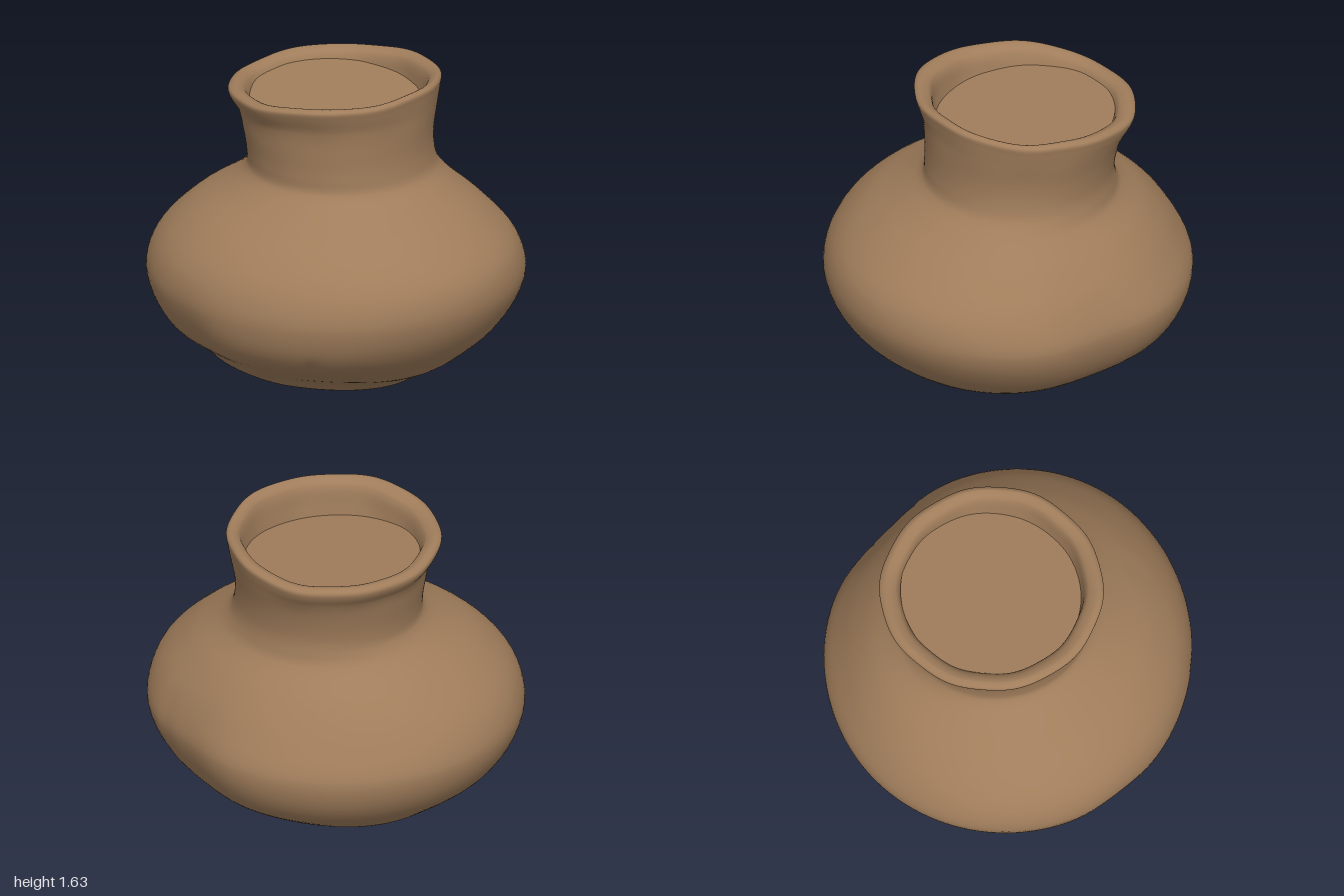
import * as THREE from 'three';

// Cross-sections from foot to inside of the lip: [y, xMin, xMax, zMin, zMax]
const SECTIONS = [
  [0.004, -0.44, 0.43, -0.38, 0.39],
  [0.02, -0.47, 0.46, -0.42, 0.42],
  [0.08, -0.57, 0.53, -0.47, 0.49],
  [0.16, -0.70, 0.69, -0.67, 0.64],
  [0.32, -0.90, 0.87, -0.88, 0.88],
  [0.54, -1.00, 0.99, -0.955, 0.97],
  [0.73, -0.95, 0.96, -0.86, 0.93],
  [0.90, -0.79, 0.80, -0.73, 0.78],
  [1.04, -0.57, 0.61, -0.59, 0.55],
  [1.12, -0.495, 0.52, -0.565, 0.45],
  [1.20, -0.49, 0.495, -0.56, 0.44],
  [1.32, -0.51, 0.49, -0.58, 0.445],
  [1.45, -0.54, 0.505, -0.62, 0.46],
  [1.53, -0.58, 0.517, -0.65, 0.50],
  [1.57, -0.585, 0.52, -0.655, 0.51],
  [1.585, -0.55, 0.495, -0.62, 0.475],
  [1.555, -0.50, 0.455, -0.565, 0.42],
  [1.46, -0.47, 0.435, -0.545, 0.40],
  [1.34, -0.46, 0.42, -0.53, 0.38],
];

// Spacing of the sections along the profile
const KNOTS = [0];
for (let i = 1; i < SECTIONS.length; i++) {
  const [a, b] = [SECTIONS[i - 1], SECTIONS[i]];
  KNOTS.push(KNOTS[i - 1] + Math.hypot(b[0] - a[0], b[2] - a[2]));
}

// Dents, creases and swellings: [angle, y, angular width, height, push]
const DENTS = [
  [-1.0, 0.50, 0.30, 0.32, -0.05],
  [-0.80, 0.55, 0.04, 0.25, -0.006],
  [2.27, 0.38, 0.18, 0.20, -0.02],
  [1.47, 0.32, 0.03, 0.04, -0.014],
  [1.45, 0.55, 0.03, 0.30, -0.004],
  [0.94, 0.93, 0.12, 0.03, -0.008],
  [0.78, 0.12, 0.45, 0.09, 0.04],
  [2.30, 0.08, 0.45, 0.09, 0.06],
  [-2.30, 0.12, 0.45, 0.09, 0.03],
];

const SIDES = 128;
const STEPS = 6;

// Smooth interpolation along the list of sections
function sectionAt(t) {
  const last = SECTIONS.length - 1;
  const i = Math.min(Math.floor(t), last - 1);
  const f = t - i;
  const [ip, inext] = [Math.max(i - 1, 0), Math.min(i + 2, last)];
  const h = KNOTS[i + 1] - KNOTS[i];
  const b = SECTIONS[i + 1];
  return SECTIONS[i].map((v, k) => {
    const m0 = ((b[k] - SECTIONS[ip][k]) * h) / (KNOTS[i + 1] - KNOTS[ip]);
    const m1 = ((SECTIONS[inext][k] - v) * h) / (KNOTS[inext] - KNOTS[i]);
    return v + m0 * f + (3 * (b[k] - v) - 2 * m0 - m1) * f * f
      + (2 * (v - b[k]) + m0 + m1) * f * f * f;
  });
}

// A point on the hand-shaped wall
function wallPoint(t, angle) {
  const [y, x0, x1, z0, z1] = sectionAt(t);
  let push = 0;
  for (const [a, h, w, s, depth] of DENTS) {
    const d = Math.atan2(Math.sin(angle - a), Math.cos(angle - a));
    push += depth * Math.exp(-((d / w) ** 2) - ((y - h) / s) ** 2);
  }
  push += 0.003 * Math.sin(3 * angle + 5 * y) * Math.sin(4 * y + 1);
  const lip = THREE.MathUtils.smoothstep(y, 1.35, 1.56);
  push += lip * 0.006 * Math.sin(7 * angle + 1) * Math.sin(3 * angle);
  const x = (x0 + x1) / 2 + ((x1 - x0) / 2 + push) * Math.cos(angle);
  const z = (z0 + z1) / 2 + ((z1 - z0) / 2 + push) * Math.sin(angle);
  // The rim leans up towards the front left
  const tilt = 0.06 * (x + 0.03) + 0.05 * (z + 0.07) + 0.005 * Math.sin(5 * angle);
  return new THREE.Vector3(x, y + lip * tilt, z);
}

function wallGeometry() {
  const rings = (SECTIONS.length - 1) * STEPS;
  const positions = [];
  const index = [];
  for (let r = 0; r <= rings; r++) {
    for (let s = 0; s < SIDES; s++) {
      positions.push(...wallPoint(r / STEPS, (s / SIDES) * Math.PI * 2));
      if (r === rings) continue;
      const a = r * SIDES + s;
      const c = r * SIDES + ((s + 1) % SIDES);
      index.push(a, a + SIDES, c, c, a + SIDES, c + SIDES);
    }
  }
  const geometry = new THREE.BufferGeometry();
  geometry.setAttribute('position', new THREE.Float32BufferAttribute(positions, 3));
  geometry.setIndex(index);
  geometry.computeVertexNormals();
  return geometry;
}

export function createModel() {
  const clay = new THREE.MeshStandardMaterial({ color: 0xa07d5b });
  clay.name = 'brown clay';
  const grey = new THREE.MeshStandardMaterial({ color: 0x949d9d });
  grey.name = 'grey patch';

  const group = new THREE.Group();
  group.name = 'clayPot';
  const add = (name, geometry, material) => {
    const mesh = new THREE.Mesh(geometry, material);
    mesh.name = name;
    group.add(mesh);
    return mesh;
  };

  // Foot, belly, neck and rolled lip in one skin
  add('potWall', wallGeometry(), clay);

  // Flat underside following the foot's outline
  const outline = [];
  for (let s = 0; s < SIDES; s++) {
    const p = wallPoint(0, (s / SIDES) * Math.PI * 2);
    outline.push(new THREE.Vector2(p.x, p.z));
  }
  const base = new THREE.ShapeGeometry(new THREE.Shape(outline)).rotateX(Math.PI / 2);
  add('base', base.translate(0, 0.004, 0), clay);

  // Long bare patch under the foot
  const patch = new THREE.CircleGeometry(1, 48).scale(0.33, 0.12, 1);
  patch.rotateX(Math.PI / 2).rotateY(-0.71);
  add('basePatch', patch.translate(0.055, 0, -0.02), grey);

  // Small bare specks low on the back: [section, angle, radius]
  for (const [t, angle, radius] of [[2.7, -2.11, 0.03], [2.75, -2.35, 0.018], [1.3, -2.33, 0.015]]) {
    const p = wallPoint(t, angle);
    const along = wallPoint(t, angle + 0.03).sub(p);
    const normal = wallPoint(t + 0.1, angle).sub(p).cross(along).normalize();
    const speck = add('speck', new THREE.CircleGeometry(radius, 16), grey);
    speck.quaternion.setFromUnitVectors(new THREE.Vector3(0, 0, 1), normal);
    speck.position.copy(p).addScaledVector(normal, 0.005);
  }

  // Slightly sloping surface closing the mouth below the lip
  const fill = new THREE.CircleGeometry(1, SIDES).rotateX(-Math.PI / 2);
  fill.scale(0.475, 1, 0.485).rotateX(0.06).rotateZ(-0.06);
  add('mouthFill', fill.translate(-0.02, 1.46, -0.07), clay);

  return group;
}
